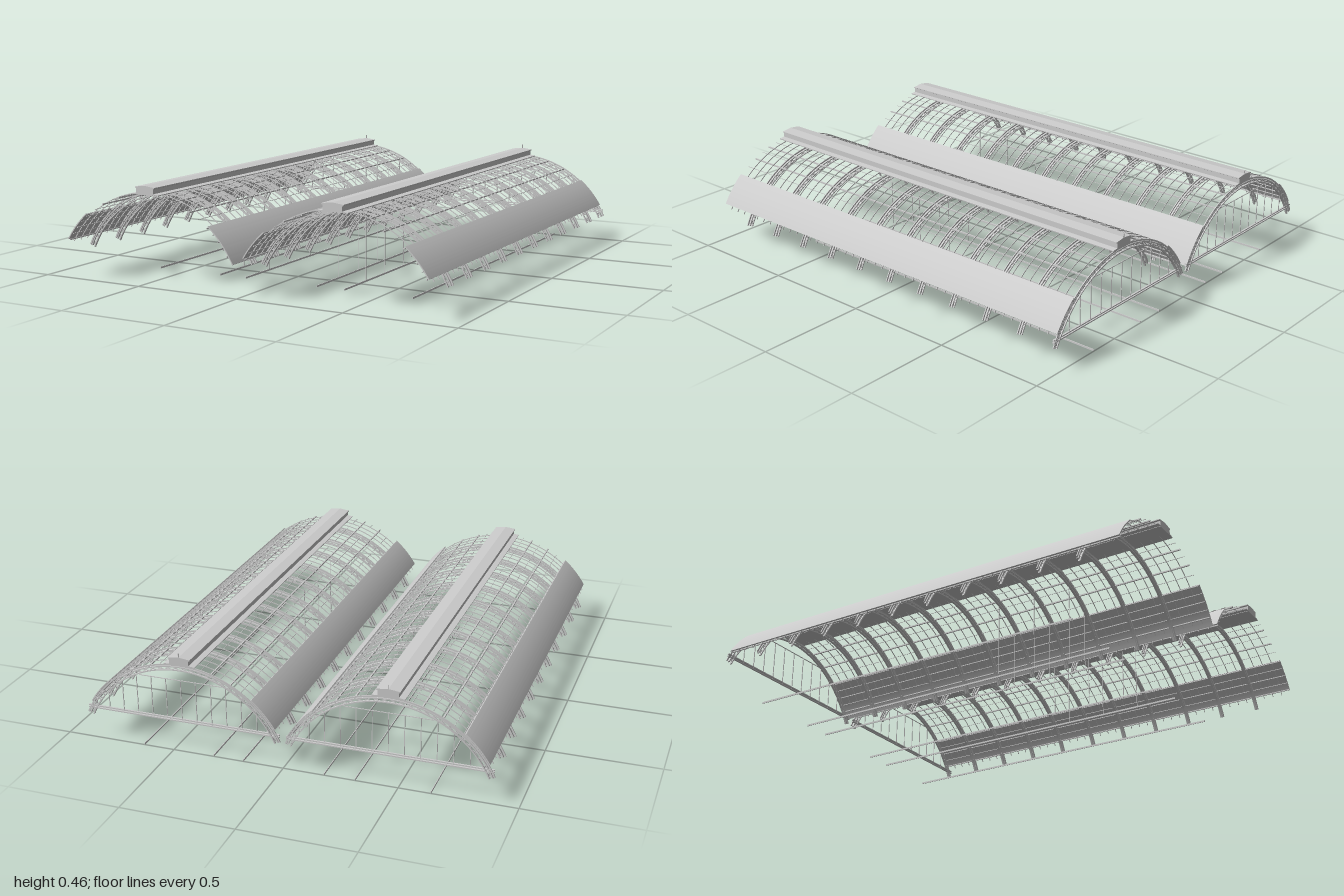
import * as THREE from 'three';
import { mergeGeometries, toCreasedNormals } from 'three/addons/utils/BufferGeometryUtils.js';

const material = new THREE.MeshStandardMaterial({ color: 0xcccccc, side: THREE.DoubleSide });
const CY = -0.085;            // height of the centre of the vault's circle
const R_OUT = 0.48, R_IN = 0.46; // truss chords
const END = 65.3;             // springing angle, degrees from the crown
const BAY = 0.182;
const rad = THREE.MathUtils.degToRad;

// Point on a vault arc, angle in degrees from the crown towards +x
const at = (r, a, z = 0) => new THREE.Vector3(r * Math.sin(rad(a)), CY + r * Math.cos(rad(a)), z);

// Curved slab between two radii and two angles, running from z over depth
function arc(rIn, rOut, a0, a1, z, depth, segments = 32) {
  const t0 = Math.PI / 2 - rad(a0), t1 = Math.PI / 2 - rad(a1);
  const s = new THREE.Shape();
  s.absarc(0, 0, rOut, t0, t1, true);
  s.absarc(0, 0, rIn, t1, t0, false);
  const g = new THREE.ExtrudeGeometry(s, { depth, bevelEnabled: false, curveSegments: segments });
  return toCreasedNormals(g.translate(0, CY, z), 0.5);
}

// Square bar between two points
function bar(p, q, w, h = w) {
  const dir = q.clone().sub(p);
  const g = new THREE.BoxGeometry(w, h, dir.length());
  const m = new THREE.Matrix4().lookAt(q, p, Math.abs(dir.y) > 0.99 * dir.length()
    ? new THREE.Vector3(0, 0, 1) : new THREE.Vector3(0, 1, 0));
  m.setPosition(p.clone().add(q).multiplyScalar(0.5));
  return g.applyMatrix4(m).toNonIndexed();
}
const v = (x, y, z) => new THREE.Vector3(x, y, z);

function add(group, name, geometries) {
  const mesh = new THREE.Mesh(mergeGeometries(geometries), material);
  mesh.name = name;
  group.add(mesh);
  return mesh;
}

// One arched lattice truss
function truss(z) {
  const parts = [
    arc(R_OUT - 0.005, R_OUT, -END, END, z - 0.005, 0.01),
    arc(R_IN, R_IN + 0.005, -END, END, z - 0.005, 0.01),
  ];
  const n = 30, step = 2 * END / n;
  for (let i = 0; i < n; i++) {
    const a = -END + i * step, b = a + step;
    parts.push(bar(at(R_IN + 0.003, a, z), at(R_OUT - 0.003, b, z), 0.0025));
    parts.push(bar(at(R_OUT - 0.003, a, z), at(R_IN + 0.003, b, z), 0.0025));
  }
  return parts;
}

function vault(side) {
  const g = new THREE.Group();
  g.name = side < 0 ? 'rightVault' : 'leftVault';

  // Trusses, from the end wall forwards
  const trusses = [];
  for (let i = 0; i <= 10; i++) trusses.push(...truss(i ? -1 + i * BAY : -0.994));
  add(g, 'archTrusses', trusses);

  // Thin curved glazing bars
  const glazing = [];
  for (let i = 0; i <= 43; i++) {
    const z = Math.min(-0.999 + i * BAY / 4, 0.997);
    const main = i % 4 === 0;
    glazing.push(arc(main ? 0.483 : 0.486, 0.49, -END + (main ? 0 : 5), END - (main ? 0 : 5),
      z - 0.001, main ? 0.004 : 0.002, 24));
  }
  add(g, 'glazingBars', glazing);

  // Purlins along the length: [angle, thickness]
  const purlins = [];
  for (const [a, w] of [[11.5, 0.002], [16.8, 0.006], [22, 0.002], [27.8, 0.006], [34, 0.002],
    [40.5, 0.005], [45, 0.003], [49.5, 0.004], [54, 0.003], [58, 0.005]])
    for (const s of [-1, 1]) purlins.push(bar(at(0.484, s * a, -1), at(0.484, s * a, 1), w));
  add(g, 'purlins', purlins);

  // Solid roofing at both eaves, reaching lower over the valley
  add(g, 'eavesRoofing', [
    arc(0.491, 0.496, -58.5, -40.3, -1, 2, 12),
    arc(0.491, 0.496, 40.3, side < 0 ? 62.7 : 58.5, -1, 2, 12),
  ]);

  // Ridge strip with raised lantern
  const lantern = new THREE.Shape([[-0.044, 0.4], [0.044, 0.4], [0.044, 0.426], [0.05, 0.429],
    [0.05, 0.433], [0, 0.439], [-0.05, 0.433], [-0.05, 0.429], [-0.044, 0.426]]
    .map(p => new THREE.Vector2(...p)));
  add(g, 'ridgeLantern', [
    arc(0.489, 0.493, -8.2, 8.2, -1, 2, 8),
    new THREE.ExtrudeGeometry(lantern, { depth: 2, bevelEnabled: false }).translate(0, 0, -1),
  ]);
  add(g, 'finial', [bar(v(0, 0.435, -0.997), v(0, 0.456, -0.997), 0.004)]);

  // Glazed end wall: tie beam, transom and mullions
  const zw = -0.994;
  const wall = [
    bar(v(-0.44, 0.15, zw), v(0.44, 0.15, zw), 0.008, 0.005),
    bar(v(-0.44, 0.14, zw), v(0.44, 0.14, zw), 0.008, 0.005),
    bar(v(-0.19, 0.33, zw), v(0.19, 0.33, zw), 0.003),
  ];
  for (let i = -5; i <= 5; i++) {
    const x = i * 0.068;
    const top = Math.min(0.33, CY + Math.sqrt(R_IN * R_IN - x * x));
    wall.push(bar(v(x, 0.145, zw), v(x, top, zw), 0.003));
  }
  add(g, 'endWall', wall);

  // Slender posts and floor rails
  const posts = [], rails = [];
  for (const x of [-0.14, -0.275]) {
    const top = CY + Math.sqrt(R_IN * R_IN - x * x);
    for (const z of [0.455, 0.275, 0.09]) posts.push(bar(v(-side * x, 0, z), v(-side * x, top, z), 0.0025));
  }
  for (const x of [0.14, 0.275, -0.183])
    rails.push(bar(v(-side * x, 0.004, -1), v(-side * x, 0.004, 0.65), 0.003, 0.008));
  // posts and rails lean towards the valley between the vaults
  add(g, 'posts', posts.map(p => p.scale(-1, 1, 1)).map(flipFaces));
  add(g, 'floorRails', rails);

  g.position.x = side * 0.455;
  return g;
}

// Restore outward winding after a mirror
function flipFaces(geometry) {
  for (const attribute of Object.values(geometry.attributes)) {
    const { array, itemSize: n } = attribute;
    for (let i = 0; i < array.length; i += 3 * n)
      for (let k = 0; k < n; k++)
        [array[i + n + k], array[i + 2 * n + k]] = [array[i + 2 * n + k], array[i + n + k]];
  }
  return geometry;
}

export function createModel() {
  const model = new THREE.Group();
  model.name = 'twinVaultedRoof';
  model.add(vault(-1), vault(1));
  return model;
}
